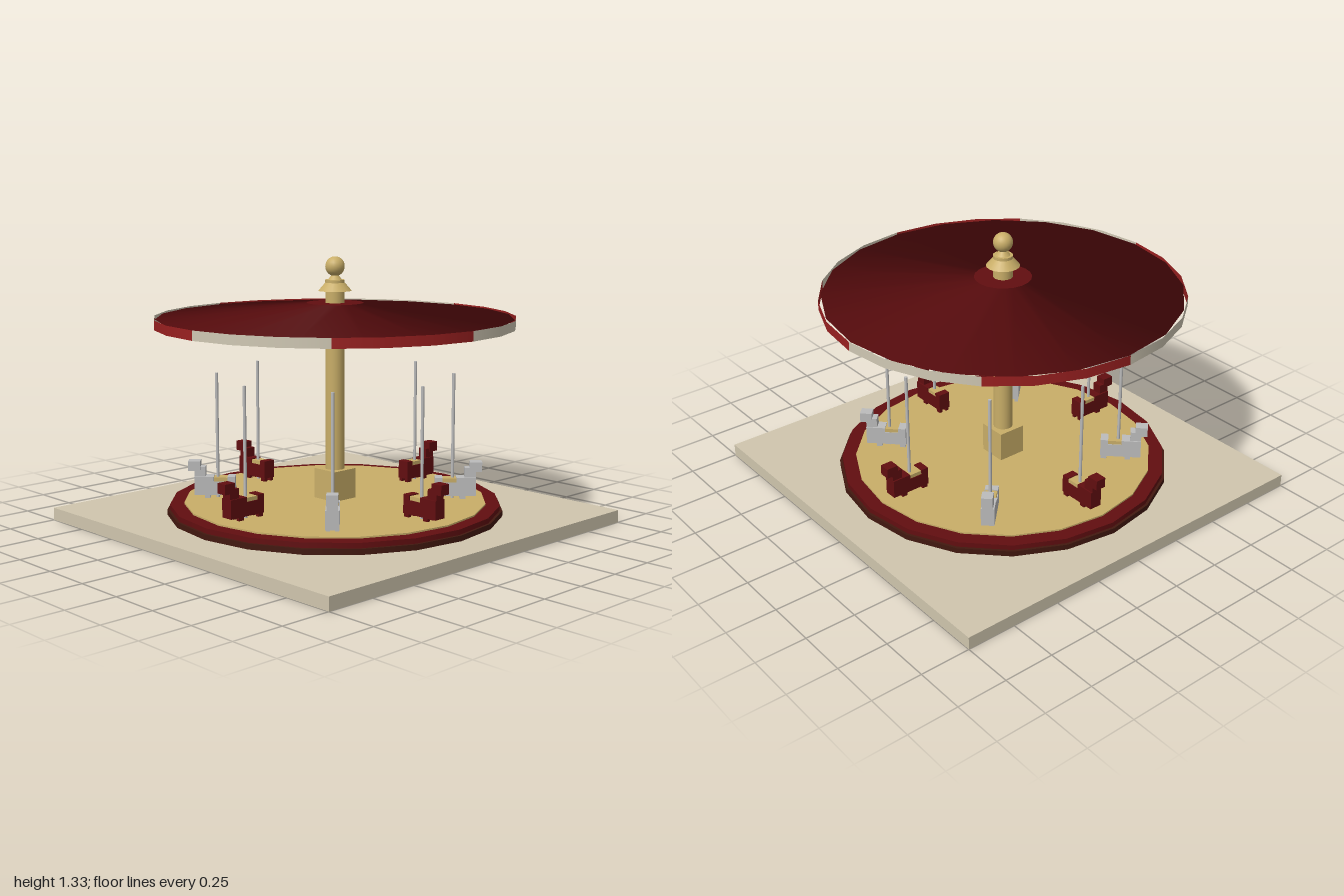
import * as THREE from 'three';

const mat = (name, color, side = THREE.FrontSide) => {
  const m = new THREE.MeshStandardMaterial({ color, side });
  m.name = name;
  return m;
};

export function createModel() {
  const stone = mat('stone', 0xd0c6ae);
  const darkRed = mat('darkRed', 0x620e10);
  const brown = mat('darkBrown', 0x42180f);
  const gold = mat('gold', 0xc9ae68);
  const silver = mat('silver', 0xbcbcbc);
  const cream = mat('cream', 0xd0c8b4, THREE.DoubleSide);
  const bandRed = mat('bandRed', 0x9a2020, THREE.DoubleSide);

  const model = new THREE.Group();
  model.name = 'carousel';
  const add = (parent, name, geometry, material, x = 0, y = 0, z = 0) => {
    const mesh = new THREE.Mesh(geometry, material);
    mesh.name = name;
    mesh.position.set(x, y, z);
    parent.add(mesh);
    return mesh;
  };
  // Box and cylinder placed by their lower and upper heights
  const box = (parent, name, m, x0, x1, y0, y1, width) =>
    add(parent, name, new THREE.BoxGeometry(x1 - x0, y1 - y0, width), m, (x0 + x1) / 2, (y0 + y1) / 2);
  const drum = (parent, name, m, rTop, rBottom, y0, y1, sides = 20) =>
    add(parent, name, new THREE.CylinderGeometry(rTop, rBottom, y1 - y0, sides), m, 0, (y0 + y1) / 2);

  // Ground slab and stepped turntable
  box(model, 'groundSlab', stone, -1, 1, 0, 0.063, 2);
  drum(model, 'platformStep', brown, 0.833, 0.833, 0.063, 0.09);
  drum(model, 'platformRim', darkRed, 0.82, 0.82, 0.09, 0.115);
  drum(model, 'platformFloor', gold, 0.75, 0.75, 0.115, 0.123);

  // Central column with its finial
  box(model, 'columnPlinth', gold, -0.072, 0.072, 0.123, 0.273, 0.144);
  drum(model, 'column', gold, 0.048, 0.048, 0.273, 1.212);
  drum(model, 'columnCollar', gold, 0.046, 0.082, 1.158, 1.2);
  drum(model, 'finialNeck', gold, 0.016, 0.035, 1.212, 1.235);
  add(model, 'finialBall', new THREE.SphereGeometry(0.048, 20, 14), gold, 0, 1.277);

  // Canopy: a drum whose top ring is drawn in, keeping the drum's shading
  const roof = new THREE.CylinderGeometry(0.875, 0.875, 0.1, 20);
  const p = roof.attributes.position;
  for (let i = 0; i < p.count; i++) {
    const top = p.getY(i) > 0;
    const s = top ? 0.16 : 1;
    p.setXYZ(i, p.getX(i) * s, top ? 1.1 : 1.03, p.getZ(i) * s);
  }
  // The underside sits just inside the band
  for (let i = 0; i < p.count; i++) {
    if (roof.attributes.normal.getY(i) < -0.5) p.setY(i, 1.029);
  }
  add(model, 'canopy', roof, darkRed);

  // Eight alternating panels around the canopy edge
  for (let i = 0; i < 8; i++) {
    const panel = new THREE.CylinderGeometry(0.885, 0.885, 0.047, 3, 1, true, i * Math.PI / 4, Math.PI / 4);
    add(model, 'canopyBand', panel, i % 2 ? bandRed : cream, 0, 1.012);
  }

  // Eight horses facing outwards, modelled along +x
  for (let i = 0; i < 8; i++) {
    const coat = i % 2 ? silver : darkRed;
    const horse = new THREE.Group();
    horse.name = 'horse';
    horse.rotation.y = i * Math.PI / 4;
    box(horse, 'body', coat, 0.497, 0.7, 0.14, 0.208, 0.064);
    box(horse, 'rump', coat, 0.497, 0.535, 0.208, 0.232, 0.064);
    box(horse, 'chest', coat, 0.603, 0.7, 0.208, 0.232, 0.064);
    box(horse, 'saddle', gold, 0.535, 0.603, 0.208, 0.227, 0.056);
    box(horse, 'neck', coat, 0.645, 0.7, 0.232, 0.28, 0.05);
    box(horse, 'head', coat, 0.67, 0.73, 0.26, 0.31, 0.054);
    for (const x of [0.515, 0.635]) {
      for (const z of [-0.02, 0.02]) {
        add(horse, 'leg', new THREE.BoxGeometry(0.028, 0.018, 0.018), coat, x, 0.132, z);
      }
    }
    const pole = drum(horse, 'pole', silver, 0.008, 0.008, 0.123, 0.752, 12);
    pole.position.x = 0.585;
    model.add(horse);
  }
  return model;
}
